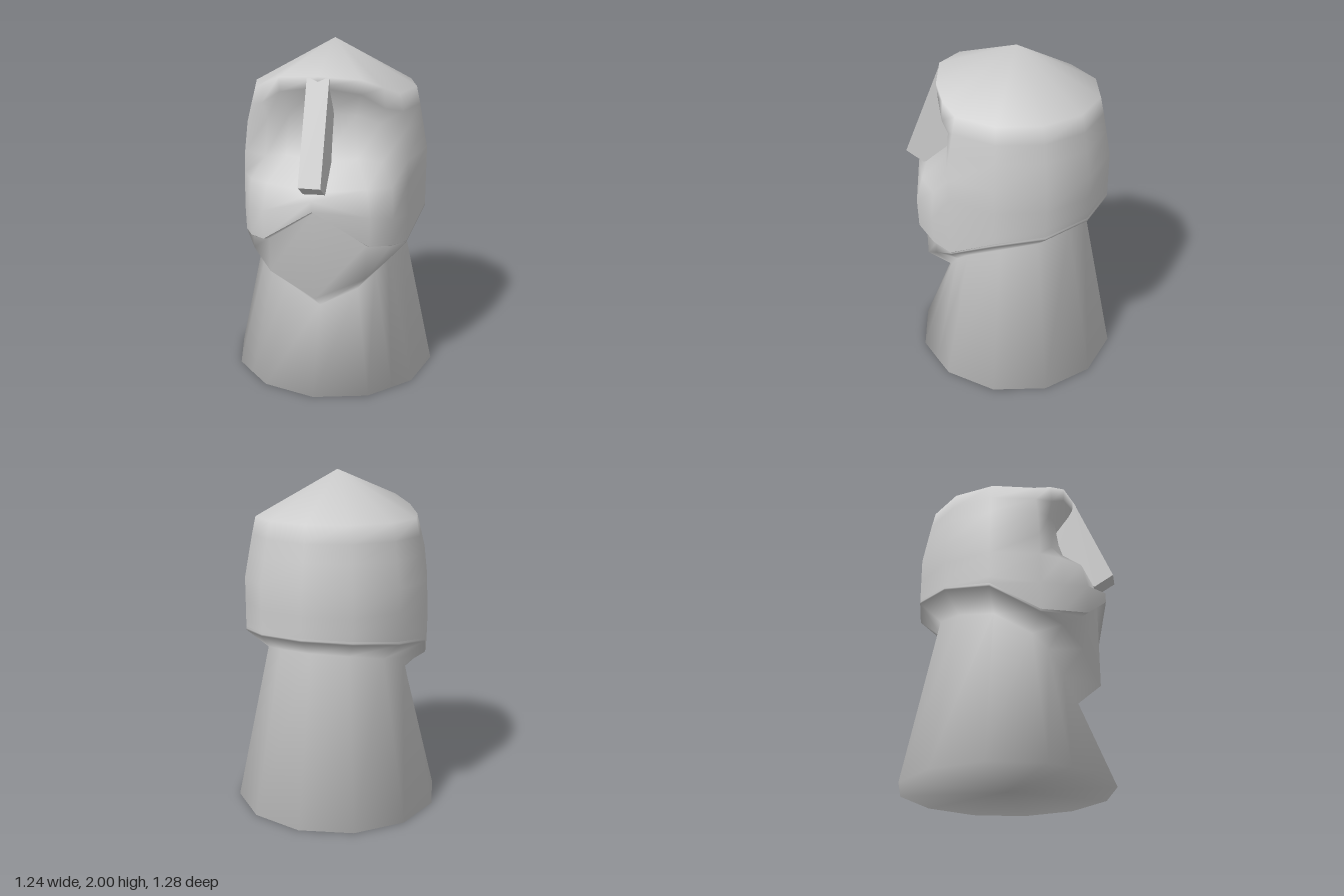
import * as THREE from 'three';
import { mergeVertices } from 'three/addons/utils/BufferGeometryUtils.js';

const stone = new THREE.MeshStandardMaterial({ color: 0xcccccc });
stone.name = 'pale stone';
const CENTRE_Z = -0.02;

// Lofts upright columns [angle, [[radius, y], ...]] around a closed ring, smooth shaded
function loft(columns) {
  const rows = columns[0][1].length, n = columns.length;
  const pos = [], index = [];
  for (const [deg, profile] of columns) {
    const a = THREE.MathUtils.degToRad(deg);
    for (const [r, y] of profile) pos.push(r * Math.sin(a), y, r * Math.cos(a) + CENTRE_Z);
  }
  for (let i = 0; i < n; i++) {
    for (let j = 0; j < rows - 1; j++) {
      const a = i * rows + j, b = ((i + 1) % n) * rows + j;
      index.push(a, b, b + 1, a, b + 1, a + 1);
    }
  }
  const geo = new THREE.BufferGeometry();
  geo.setAttribute('position', new THREE.Float32BufferAttribute(pos, 3));
  geo.setIndex(index);
  const merged = mergeVertices(geo, 1e-4);
  merged.computeVertexNormals();
  return merged;
}

// Left half columns, front to back, copied to the right half
function mirrored(half) {
  const copies = half.filter(([deg]) => deg > 0 && deg < 180).map(([deg, p]) => [360 - deg, p]);
  return [...half, ...copies.reverse()];
}

// Neck and chin: base rim, neck top, jaw, chin top, moustache edge
const neckHalf = [
  [0, [[0.62, 0], [0.42, 0.5], [0.555, 0.6], [0.555, 1.12], [0.61, 1.14]]],
  [30, [[0.62, 0], [0.42, 0.6], [0.56, 0.72], [0.56, 0.92], [0.605, 0.93]]],
  [46, [[0.6, 0], [0.42, 0.72], [0.56, 0.82], [0.56, 0.89], [0.575, 0.9]]],
  [60, [[0.62, 0], [0.42, 0.8], [0.55, 0.875], [0.55, 0.883], [0.555, 0.89]]],
];

// Face: moustache edge, moustache, cheek, socket floor, socket back, under brow, brow
const headHalf = [
  [0, [[0.61, 1.14], [0.61, 1.2], [0.55, 1.23], [0.4, 1.36], [0.32, 1.62], [0.445, 1.79], [0.45, 1.85]]],
  [30, [[0.605, 0.93], [0.61, 1.1], [0.57, 1.25], [0.42, 1.38], [0.38, 1.62], [0.455, 1.75], [0.46, 1.83]]],
  [46, [[0.575, 0.9], [0.58, 1.06], [0.565, 1.24], [0.47, 1.36], [0.45, 1.58], [0.485, 1.67], [0.475, 1.78]]],
  [60, [[0.555, 0.89], [0.56, 1.05], [0.555, 1.24], [0.55, 1.37], [0.53, 1.54], [0.505, 1.64], [0.48, 1.735]]],
];

// Plain columns round the sides and back
[[90, 0.91, 1.02], [120, 0.95, 1.06], [150, 0.99, 1.09], [180, 1, 1.1]].forEach(([deg, neck, jaw]) => {
  neckHalf.push([deg, [[0.62, 0], [0.42, neck], [0.55, jaw], [0.55, jaw + 0.01], [0.55, jaw + 0.02]]]);
  headHalf.push([deg, [[0.55, jaw + 0.02], [0.55, jaw + 0.06], [0.55, 1.24], [0.55, 1.38],
    [0.522, 1.53], [0.502, 1.635], [0.48, 1.735]]]);
});

// Close the bottom and the crown to a point
neckHalf.forEach(([, p]) => p.unshift([0, 0]));
headHalf.forEach(([, p]) => p.push([0, 2]));

// Wedge nose, side profile in (z, y) pushed across x
function noseGeometry() {
  const profile = [[0.42, 1.84], [0.25, 1.7], [0.25, 1.3], [0.53, 1.22], [0.645, 1.29]];
  const shape = new THREE.Shape(profile.map(([z, y]) => new THREE.Vector2(z, y)));
  const geo = new THREE.ExtrudeGeometry(shape, { depth: 0.124, bevelEnabled: false });
  return geo.translate(0, 0, -0.062).rotateY(-Math.PI / 2);
}

export function createModel() {
  const group = new THREE.Group();
  group.name = 'stoneHead';
  const add = (name, geo) => {
    const mesh = new THREE.Mesh(geo, stone);
    mesh.name = name;
    group.add(mesh);
  };
  add('neckAndChin', loft(mirrored(neckHalf)));
  add('headWithBrowAndMoustache', loft(mirrored(headHalf)));
  add('nose', noseGeometry());
  return group;
}
